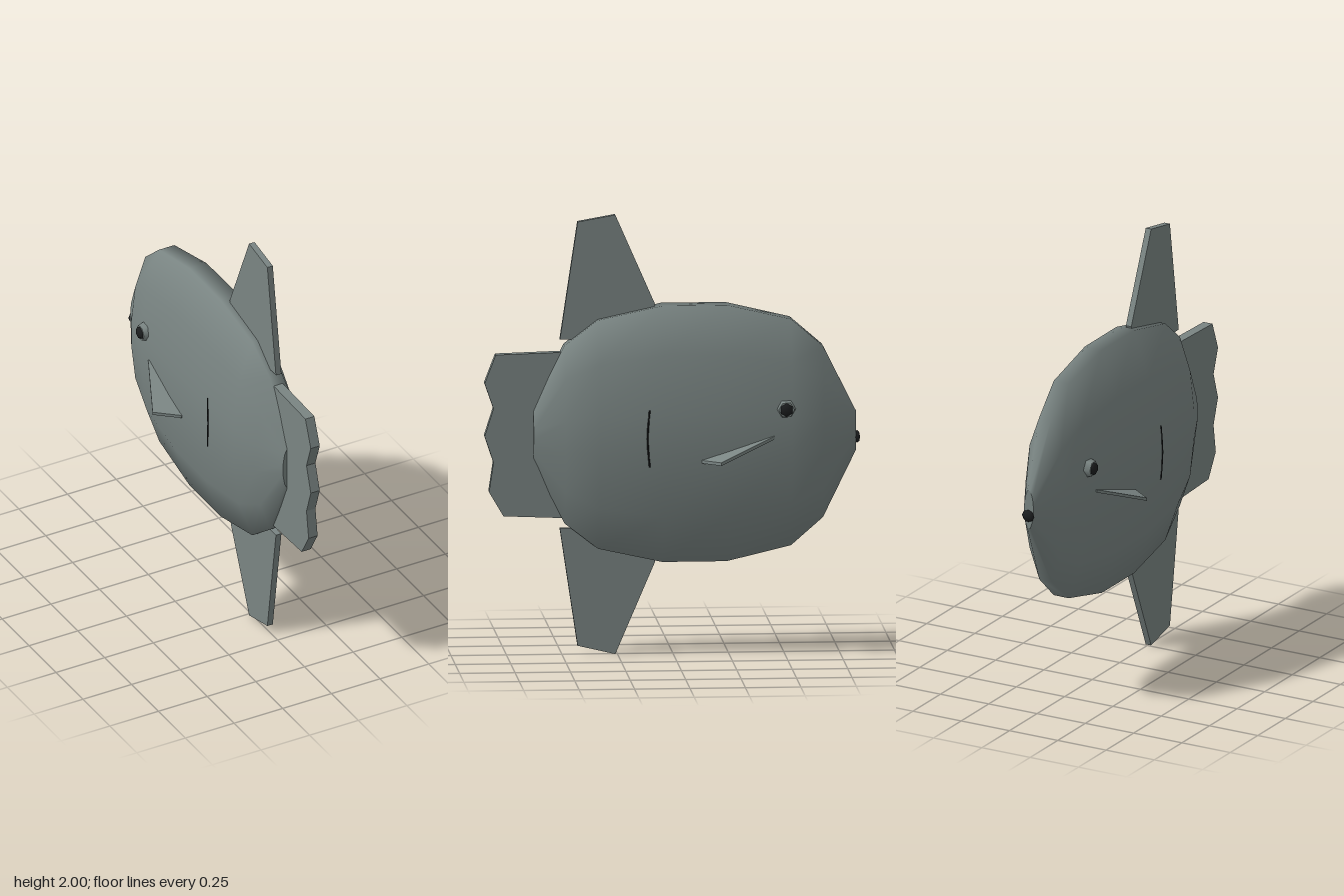
import * as THREE from 'three';

const grey = new THREE.MeshStandardMaterial({ color: 0x7a8583 });
grey.name = 'grey skin';
const black = new THREE.MeshStandardMaterial({ color: 0x1c1e1f });
black.name = 'black';

const MID = 1.005; // height of the body's centre line

function add(parent, name, geometry, material) {
  const mesh = new THREE.Mesh(geometry, material);
  mesh.name = name;
  parent.add(mesh);
  return mesh;
}

// Upright plate in the body's middle plane, outlined by [z, y] points
function plate(points, thickness) {
  const shape = new THREE.Shape(points.map(([z, y]) => new THREE.Vector2(-z, y)));
  const g = new THREE.ExtrudeGeometry(shape, { depth: thickness, bevelEnabled: false });
  return g.translate(0, 0, -thickness / 2).rotateY(Math.PI / 2);
}

// Flattened body lofted through sections along z
function bodyGeometry() {
  const sections = [ // z, half height, half width
    [-0.825, 0.09, 0.024], [-0.675, 0.39, 0.102], [-0.53, 0.515, 0.13], [-0.24, 0.583, 0.148],
    [0.05, 0.583, 0.152], [0.34, 0.52, 0.138], [0.49, 0.405, 0.105], [0.63, 0.125, 0.045],
  ];
  const quarter = [[1, 0.17], [0.8, 0.63], [0.3, 1]];
  const back = [...quarter].reverse();
  const ring = [
    ...quarter, ...back.map(([x, y]) => [-x, y]),
    ...quarter.map(([x, y]) => [-x, -y]), ...back.map(([x, y]) => [x, -y]),
  ];
  const n = ring.length;
  const pos = [];
  const index = [];
  const addRing = ([z, h, w]) => ring.forEach(([x, y]) => pos.push(x * w, MID + y * h, z));
  sections.forEach(addRing);
  for (let i = 0; i < sections.length - 1; i++) {
    for (let k = 0; k < n; k++) {
      const a = i * n + k;
      const b = i * n + (k + 1) % n;
      index.push(a, b, a + n, b, b + n, a + n);
    }
  }
  // Flat end caps with their own corners
  [sections[0], sections[sections.length - 1]].forEach((s, end) => {
    const base = pos.length / 3;
    addRing(s);
    for (let k = 1; k < n - 1; k++) {
      if (end) index.push(base, base + k, base + k + 1);
      else index.push(base, base + k + 1, base + k);
    }
  });
  const g = new THREE.BufferGeometry();
  g.setAttribute('position', new THREE.Float32BufferAttribute(pos, 3));
  g.setIndex(index);
  g.computeVertexNormals();
  return g;
}

// Triangular side fin, tilted down toward the tail and tip
function pectoralGeometry(side) {
  const outline = [[0.10, -0.45], [0.14, -0.45], [0.255, -0.2], [0.15, -0.12], [0.10, -0.12]];
  const shape = new THREE.Shape(outline.map(([x, z]) => new THREE.Vector2(side * x, -z)));
  const g = new THREE.ExtrudeGeometry(shape, { depth: 0.014, bevelEnabled: false });
  g.rotateX(-Math.PI / 2);
  const p = g.attributes.position;
  for (let i = 0; i < p.count; i++) {
    const x = Math.abs(p.getX(i));
    p.setY(i, p.getY(i) + 0.99 - 0.19 * (x - 0.14) - 0.312 * (p.getZ(i) + 0.45));
  }
  g.computeVertexNormals();
  return g;
}

export function createModel() {
  const fish = new THREE.Group();
  fish.name = 'sunfish';

  add(fish, 'body', bodyGeometry(), grey);

  // Tall fins above and below, mirrored about the centre line
  const fin = [[0.51, 1.435], [0.43, 1.97], [0.26, 2.0], [0.08, 1.59], [0.12, 1.46], [0.35, 1.435]];
  add(fish, 'dorsalFin', plate(fin, 0.028), grey);
  add(fish, 'analFin', plate(fin.map(([z, y]) => [z, y > 1.99 ? 0 : 2 * MID - y]), 0.028), grey);

  // Scalloped tail
  add(fish, 'tailFin', plate([
    [0.45, 1.38], [0.80, 1.37], [0.85, 1.24], [0.81, 1.125], [0.85, 1.0],
    [0.81, 0.88], [0.83, 0.745], [0.765, 0.635], [0.45, 0.622],
  ], 0.046), grey);

  // Small mouth knob
  const mouth = add(fish, 'mouth', new THREE.SphereGeometry(0.032, 6, 4), black);
  mouth.scale.set(1, 0.9, 0.5);
  mouth.position.set(0, 0.976, -0.83);

  for (const side of [1, -1]) {
    const label = side > 0 ? 'left' : 'right';
    add(fish, label + 'PectoralFin', pectoralGeometry(side), grey);

    // Eye: six-sided socket with a black pupil
    const eye = new THREE.Group();
    eye.name = label + 'Eye';
    eye.position.set(side * 0.132, 1.124, -0.502);
    eye.rotation.z = -side * Math.PI / 2;
    fish.add(eye);
    add(eye, 'socket', new THREE.CylinderGeometry(0.036, 0.047, 0.04, 6), grey);
    const pupil = add(eye, 'pupil', new THREE.SphereGeometry(0.033, 6, 4), black);
    pupil.scale.y = 0.55;
    pupil.position.y = 0.017;

    // Thin bent gill slit
    const gill = new THREE.CatmullRomCurve3([
      new THREE.Vector3(side * 0.147, 1.13, 0.115),
      new THREE.Vector3(side * 0.15, 1.0, 0.125),
      new THREE.Vector3(side * 0.147, 0.87, 0.115),
    ]);
    add(fish, label + 'GillSlit', new THREE.TubeGeometry(gill, 6, 0.004, 4), black);
  }
  return fish;
}
